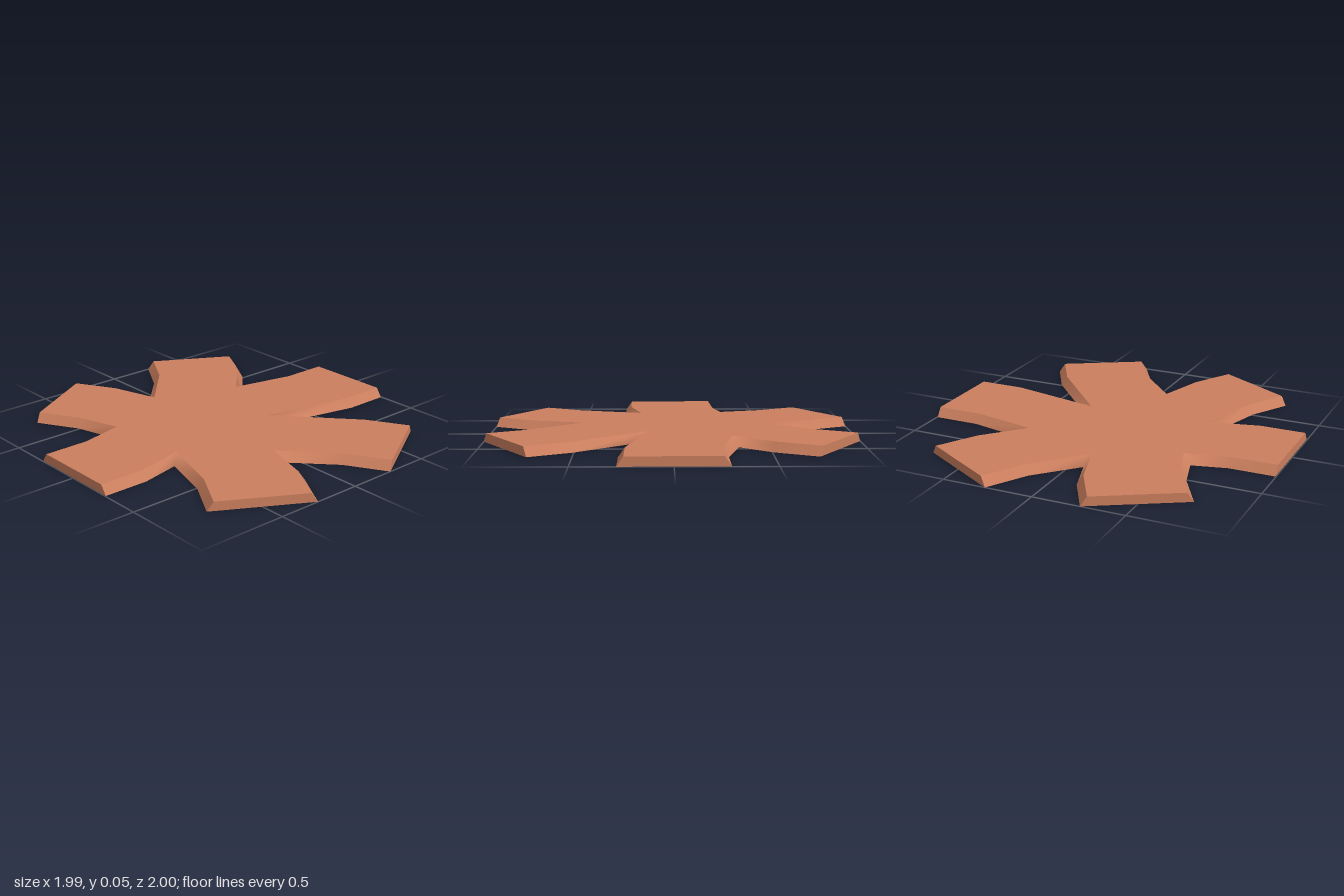
import * as THREE from 'three';

const HEIGHT = 0.05, END = 0.9965, BEND = 0.745; // slab height, arm end and bend distances
const FOOT = 0.274, RIM = 0.24;                  // half widths of an arm at base and top

// Notches between neighbouring arms, counter-clockwise from +x: [x, -z] at base and top
const notches = [
  { base: [0.455, 0.342], top: [0.385, 0.315] },
  { base: [-0.067, 0.57], top: [-0.083, 0.5] },
  { base: [-0.556, 0.32], top: [-0.508, 0.294] },
  { base: [-0.524, -0.225], top: [-0.47, -0.176] },
  { base: [-0.067, -0.567], top: [-0.083, -0.497] },
  { base: [0.315, -0.18], top: [0.225, -0.128] },
];

// Point on arm k: distance along it, signed offset across it
function armPoint(k, along, across) {
  return new THREE.Vector2(along, across).rotateAround(new THREE.Vector2(), k * Math.PI / 3);
}

// Outline from the end of arm k, round the notch, to the end of the next arm
function notchPath(k, half, level) {
  return [
    armPoint(k, END, half), armPoint(k, BEND, half),
    new THREE.Vector2(...notches[k][level]),
    armPoint(k + 1, BEND, -half), armPoint(k + 1, END, -half),
  ];
}

// Sloped wall strip between a base path and a top path
function wallStrip(base, top) {
  const positions = [], index = [];
  base.forEach((b, i) => {
    positions.push(b.x, 0, -b.y, top[i].x, HEIGHT, -top[i].y);
    if (i > 0) {
      const j = 2 * i - 2;
      index.push(j, j + 2, j + 3, j, j + 3, j + 1);
    }
  });
  const geometry = new THREE.BufferGeometry();
  geometry.setAttribute('position', new THREE.Float32BufferAttribute(positions, 3));
  geometry.setIndex(index);
  geometry.computeVertexNormals();
  return geometry;
}

export function createModel() {
  const group = new THREE.Group();
  group.name = 'sixArmedSlab';
  const clay = new THREE.MeshStandardMaterial({ color: 0xcb7f5e, side: THREE.DoubleSide });
  clay.name = 'clay';
  const add = (name, geometry) => {
    const mesh = new THREE.Mesh(geometry, clay);
    mesh.name = name;
    group.add(mesh);
  };

  const outline = [];
  for (let k = 0; k < 6; k++) {
    // Bevelled side walls, smooth round each notch
    const top = notchPath(k, RIM, 'top');
    add('notchWall' + (k + 1), wallStrip(notchPath(k, FOOT, 'base'), top));
    outline.push(...top);

    // Upright arm end
    add('armEnd' + (k + 1), wallStrip(
      [armPoint(k, END, -FOOT), armPoint(k, END, FOOT)],
      [armPoint(k, END, -RIM), armPoint(k, END, RIM)]));
  }

  // Flat top; the underside is open
  const topPlate = new THREE.ShapeGeometry(new THREE.Shape(outline));
  topPlate.rotateX(-Math.PI / 2).translate(0, HEIGHT, 0);
  add('topPlate', topPlate);
  return group;
}
